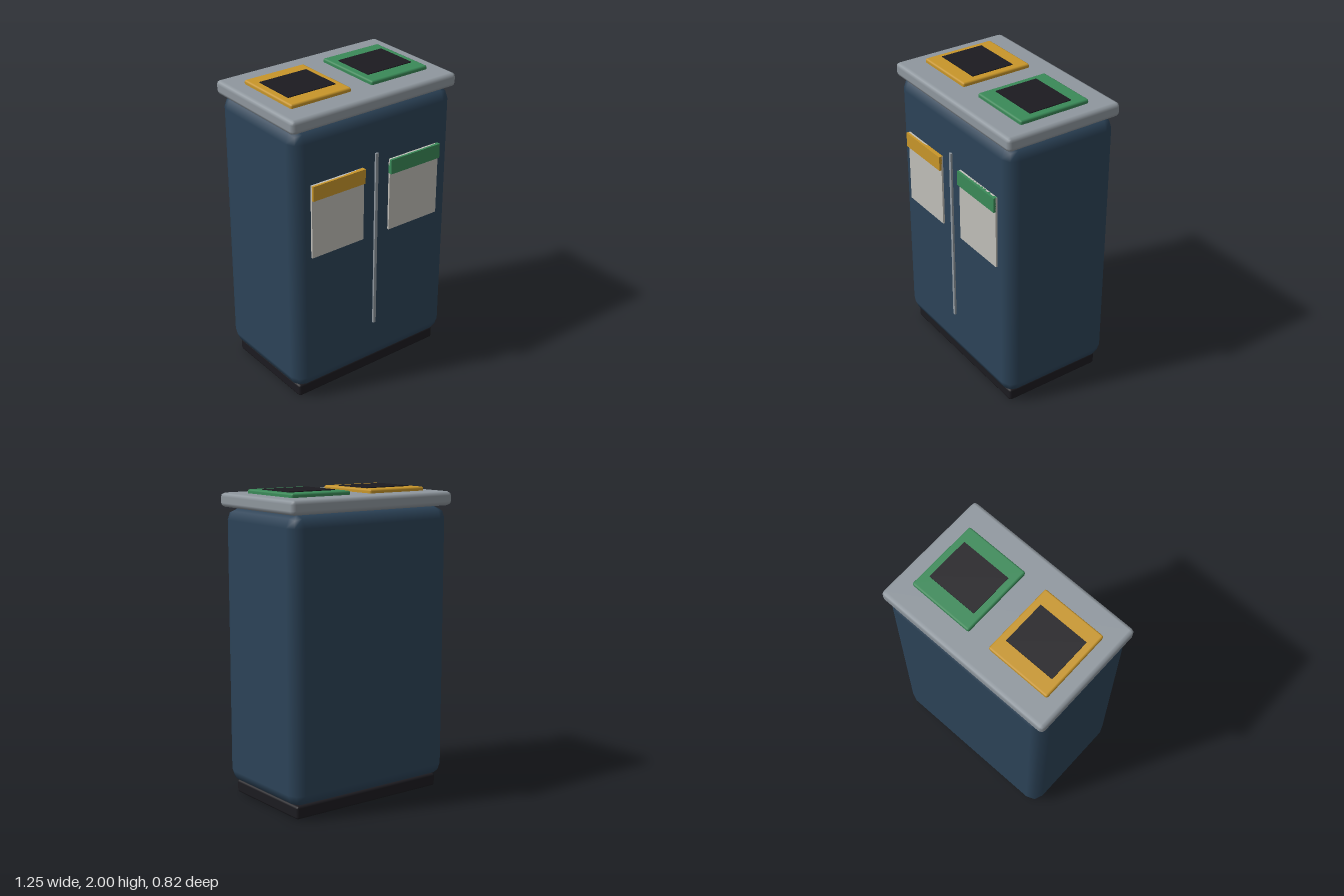
import * as THREE from 'three';
import { RoundedBoxGeometry } from 'three/addons/geometries/RoundedBoxGeometry.js';

const mat = (color) => new THREE.MeshStandardMaterial({ color });

export function createModel() {
  const group = new THREE.Group();
  const navy = mat(0x2c4358), steel = mat(0x8f979e), black = mat(0x1c1b20);
  const paper = mat(0xc0beb8), yellow = mat(0xc8962a), green = mat(0x3a8a58);
  const zMid = -0.008;

  // Box given by its x/z centre, width, bottom, top and depth; r bevels the edges
  function box(name, material, x, z, w, y0, y1, d, r = 0) {
    const h = y1 - y0;
    const geo = r ? new RoundedBoxGeometry(w, h, d, 1, r) : new THREE.BoxGeometry(w, h, d);
    const mesh = new THREE.Mesh(geo, material);
    mesh.name = name;
    mesh.position.set(x, (y0 + y1) / 2, z);
    group.add(mesh);
  }

  // Cabinet
  box('plinth', black, 0, zMid, 1.13, 0, 0.085, 0.69, 0.015);
  box('body', navy, 0, zMid, 1.22, 0.08, 1.88, 0.782, 0.08);
  box('lid', steel, 0, zMid, 1.246, 1.88, 1.97, 0.806, 0.026);
  box('doorSeam', steel, 0, 0.386, 0.02, 0.38, 1.6, 0.02);

  // One opening and one label for each waste stream
  for (const [side, x, color] of [['right', -0.297, yellow], ['left', 0.297, green]]) {
    box(side + 'OpeningFrame', color, x, zMid, 0.441, 1.955, 1.995, 0.491, 0.012);
    box(side + 'Opening', black, x, zMid, 0.346, 1.97, 2, 0.296);
    box(side + 'Label', paper, x, 0.386, 0.392, 1.04, 1.53, 0.02);
    box(side + 'LabelBand', color, x, 0.394, 0.392, 1.433, 1.53, 0.034);
  }
  return group;
}
